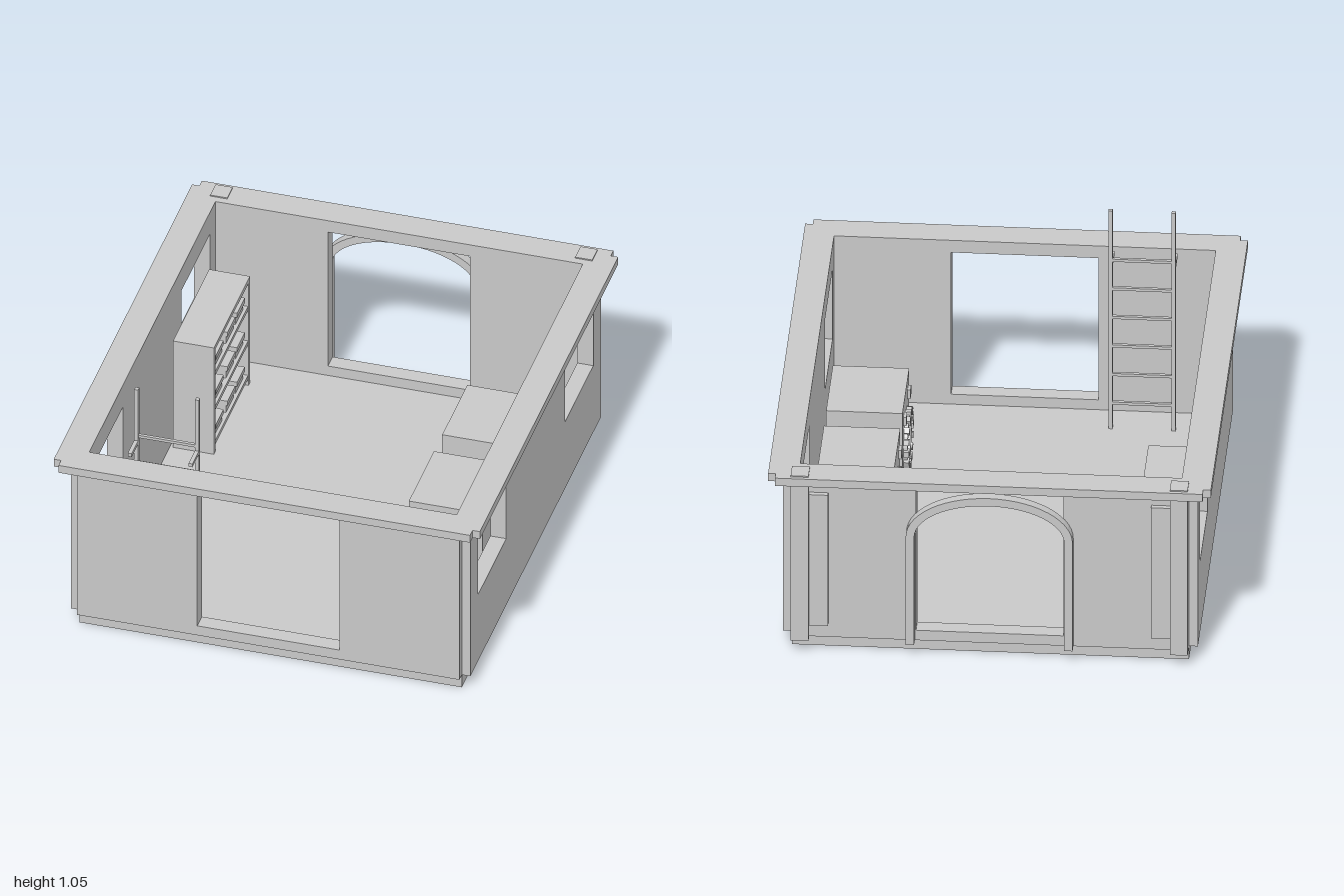
import * as THREE from 'three';

const grey = new THREE.MeshStandardMaterial({ color: 0xc8c8c8 });
grey.name = 'plain grey';

const FLOOR = 0.06;

function add(parent, name, geometry) {
  const mesh = new THREE.Mesh(geometry, grey);
  mesh.name = name;
  parent.add(mesh);
  return mesh;
}

// Box given by its minimum and maximum on each axis
function box(parent, name, x0, x1, y0, y1, z0, z1) {
  const mesh = add(parent, name, new THREE.BoxGeometry(x1 - x0, y1 - y0, z1 - z0));
  mesh.position.set((x0 + x1) / 2, (y0 + y1) / 2, (z0 + z1) / 2);
  return mesh;
}

function rectangle(Type, x0, x1, y0, y1) {
  const r = new Type();
  r.moveTo(x0, y0);
  r.lineTo(x1, y0);
  r.lineTo(x1, y1);
  r.lineTo(x0, y1);
  r.closePath();
  return r;
}

// Upright wall in the xy plane with rectangular openings
function wallGeometry(half, thickness, openings) {
  const shape = rectangle(THREE.Shape, -half, half, FLOOR, 0.775);
  for (const o of openings) shape.holes.push(rectangle(THREE.Path, ...o));
  return new THREE.ExtrudeGeometry(shape, { depth: thickness, bevelEnabled: false });
}

function buildWalls(parent) {
  const door = [[-0.29, 0.29, 0.105, 0.75]];
  const windows = [[-0.805, -0.41, 0.38, 0.7], [0.41, 0.805, 0.38, 0.7]];
  add(parent, 'frontWall', wallGeometry(0.78, 0.065, door)).position.z = 0.88;
  add(parent, 'backWall', wallGeometry(0.78, 0.065, door)).position.z = -0.945;
  for (const s of [1, -1]) {
    const wall = add(parent, s > 0 ? 'leftWall' : 'rightWall', wallGeometry(0.91, 0.065, windows));
    wall.rotation.y = s * Math.PI / 2;
    wall.position.x = s * 0.75;
  }
}

// Cornice ring with notched corners
function buildCornice(parent) {
  const quarter = [[0.87, 0.965], [0.84, 0.965], [0.84, 1]];
  const points = [];
  for (const [sx, sy] of [[1, 1], [-1, 1], [-1, -1], [1, -1]]) {
    const run = quarter.map(([x, y]) => new THREE.Vector2(sx * x, sy * y));
    points.push(...(sx * sy > 0 ? run : run.reverse()));
  }
  const shape = new THREE.Shape(points);
  shape.holes.push(rectangle(THREE.Path, -0.75, 0.75, -0.88, 0.88));
  const ring = add(parent, 'cornice',
    new THREE.ExtrudeGeometry(shape, { depth: 0.035, bevelEnabled: false }));
  ring.rotation.x = -Math.PI / 2;
  ring.position.y = 0.77;
}

// Arched surround, pilasters and panels on the back
function buildBackTrim(parent) {
  const shape = new THREE.Shape();
  shape.moveTo(0.328, 0.06);
  shape.lineTo(0.328, 0.55);
  shape.absellipse(0, 0.55, 0.328, 0.19, 0, Math.PI, false);
  shape.lineTo(-0.328, 0.06);
  shape.lineTo(-0.295, 0.06);
  shape.lineTo(-0.295, 0.55);
  shape.absellipse(0, 0.55, 0.295, 0.155, Math.PI, 0, true);
  shape.lineTo(0.295, 0.06);
  shape.closePath();
  add(parent, 'archSurround', new THREE.ExtrudeGeometry(shape,
    { depth: 0.04, bevelEnabled: false, curveSegments: 14 })).position.z = -0.985;
  for (const s of [1, -1]) {
    const pilaster = box(parent, 'pilaster', -0.035, 0.035, 0.06, 0.81, -0.985, -0.91);
    pilaster.position.x = s * 0.745;
    const panel = box(parent, 'backPanel', -0.04, 0.04, 0.12, 0.715, -0.965, -0.94);
    panel.position.x = s * 0.675;
  }
}

function buildShelf() {
  const shelf = new THREE.Group();
  shelf.name = 'shelfUnit';
  for (const z of [-0.748, -0.264]) {
    box(shelf, 'shelfSide', -0.737, -0.57, FLOOR, 0.572, z, z + 0.02);
  }
  box(shelf, 'shelfTop', -0.737, -0.57, 0.552, 0.572, -0.74, -0.25);
  for (let tier = 0; tier < 3; tier++) {
    const y = 0.09 + tier * 0.166;
    box(shelf, 'shelfBoard', -0.736, -0.572, y, y + 0.018, -0.74, -0.25);
    for (const z of [-0.65, -0.516, -0.352]) {
      box(shelf, 'storageBox', -0.71, -0.585, y + 0.018, y + 0.052, z - 0.053, z + 0.053);
      box(shelf, 'storageBoxLid', -0.715, -0.578, y + 0.052, y + 0.074, z - 0.054, z + 0.054);
    }
  }
  return shelf;
}

// Cabinet with a round studded hatch facing inward
function buildMachine(z) {
  const machine = new THREE.Group();
  machine.name = 'machine';
  box(machine, 'cabinet', 0.42, 0.72, FLOOR, 0.488, -0.175, 0.175);
  const hatch = new THREE.Group();
  hatch.name = 'hatch';
  hatch.rotation.y = -Math.PI / 2;
  hatch.position.set(0.42, 0.272, 0);
  machine.add(hatch);
  const ring = new THREE.Shape();
  ring.absarc(0, 0, 0.115, 0, Math.PI * 2, false);
  const hole = new THREE.Path();
  hole.absarc(0, 0, 0.085, 0, Math.PI * 2, true);
  ring.holes.push(hole);
  add(hatch, 'hatchRing', new THREE.ExtrudeGeometry(ring,
    { depth: 0.015, bevelEnabled: false, curveSegments: 16 }));
  for (let i = 0; i < 16; i++) {
    const a = i * Math.PI / 8;
    const stud = box(hatch, 'hatchStud', -0.015, 0.015, -0.012, 0.012, 0, 0.022);
    stud.position.set(Math.cos(a) * 0.113, Math.sin(a) * 0.113, 0.011);
    stud.rotation.z = a;
  }
  for (const sx of [1, -1]) for (const sy of [1, -1]) {
    const plate = box(hatch, 'cornerPlate', -0.02, 0.02, -0.02, 0.02, 0, 0.012);
    plate.position.x = sx * 0.105;
    plate.position.y = sy * 0.15;
  }
  machine.position.z = z;
  return machine;
}

function buildLadder() {
  const ladder = new THREE.Group();
  ladder.name = 'ladder';
  for (const x of [-0.603, -0.355]) {
    box(ladder, 'ladderRail', x, x + 0.016, FLOOR, 1.05, 0.737, 0.755);
    box(ladder, 'ladderHook', x, x + 0.016, 0.79, 0.806, 0.75, 0.845);
  }
  for (let i = 0; i < 6; i++) {
    const y = 0.825 - i * 0.13;
    box(ladder, 'ladderRung', -0.595, -0.345, y - 0.006, y + 0.006, 0.739, 0.752);
  }
  return ladder;
}

export function createModel() {
  const model = new THREE.Group();
  model.name = 'workshopRoom';
  box(model, 'baseAndFloor', -0.78, 0.78, 0, FLOOR, -0.91, 0.91);
  buildWalls(model);
  buildCornice(model);
  buildBackTrim(model);
  model.add(buildShelf(), buildMachine(-0.222), buildMachine(0.244), buildLadder());
  return model;
}
